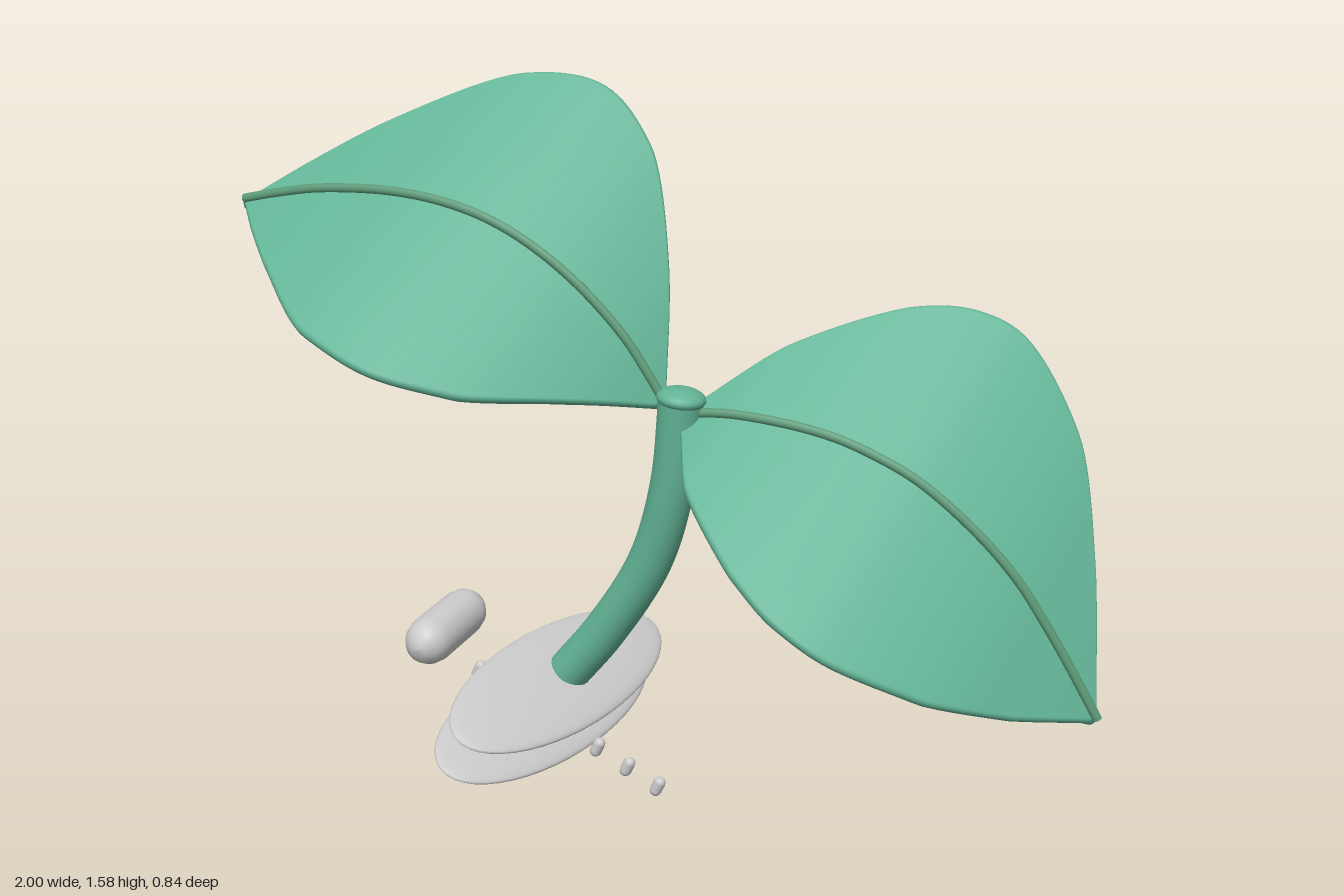
import * as THREE from 'three';

const V = (x, y, z) => new THREE.Vector3(x, y, z);
const leafMat = new THREE.MeshStandardMaterial({ color: 0x62b396 });
const veinMat = new THREE.MeshStandardMaterial({ color: 0x5d9a78 });
const greyMat = new THREE.MeshStandardMaterial({ color: 0xcccccc });

// Half-width direction shared by both leaves
const ACROSS = V(-0.12, -0.265, 0.36);
const HALF_THICK = 0.013;

function add(parent, name, geometry, material) {
  const mesh = new THREE.Mesh(geometry, material);
  mesh.name = name;
  parent.add(mesh);
  return mesh;
}

// Leaf blade: a curved midrib swept with a straight, round-rimmed cross-section.
// Each station is [x, y, z, relative half-width].
function makeLeaf(name, stations) {
  const leaf = new THREE.Group();
  leaf.name = name;
  const spine = new THREE.CatmullRomCurve3(stations.map(([x, y, z]) => V(x, y, z)));
  const width = new THREE.CatmullRomCurve3(stations.map((p) => V(p[0], p[3], 0)));
  const rows = 64, rim = 8, ring = 2 * (rim + 1);
  const side = ACROSS.clone().normalize(), fullWidth = ACROSS.length();
  const pos = [], index = [], veinPts = [];

  for (let i = 0; i <= rows; i++) {
    const t = i / rows;
    const p = spine.getPoint(t);
    const n = side.clone().cross(spine.getTangent(t)).normalize();
    const w = Math.max(width.getPoint(t).y * fullWidth - HALF_THICK, 0);
    if (i % 4 === 0) veinPts.push(p.clone().addScaledVector(n, 0.004));
    for (const sign of [1, -1]) {
      for (let k = 0; k <= rim; k++) {
        const a = (k / rim - 0.5) * Math.PI;
        const q = p.clone()
          .addScaledVector(side, sign * (w + HALF_THICK * Math.cos(a)))
          .addScaledVector(n, sign * HALF_THICK * Math.sin(a) - 0.012);
        pos.push(q.x, q.y, q.z);
      }
    }
  }
  for (let i = 0; i < rows; i++) {
    for (let j = 0; j < ring; j++) {
      const a = i * ring + j, b = i * ring + (j + 1) % ring;
      index.push(a, a + ring, b, b, a + ring, b + ring);
    }
  }
  // End caps
  const last = rows * ring;
  for (let j = 1; j < ring - 1; j++) index.push(0, j, j + 1, last, last + j + 1, last + j);

  const geo = new THREE.BufferGeometry();
  geo.setAttribute('position', new THREE.Float32BufferAttribute(pos, 3));
  geo.setIndex(index);
  geo.computeVertexNormals();
  add(leaf, 'leafBlade', geo, leafMat);

  // Raised central vein
  const vein = new THREE.TubeGeometry(new THREE.CatmullRomCurve3(veinPts), 64, 0.011, 8);
  add(leaf, 'leafVein', vein, veinMat);
  return leaf;
}

export function createModel() {
  const model = new THREE.Group();
  model.name = 'sprout';

  // Leaves
  model.add(makeLeaf('rightLeaf', [
    [-0.995, 1.315, 0.07, 0.02], [-0.9, 1.335, 0.072, 0.25], [-0.777, 1.353, 0.073, 0.52],
    [-0.56, 1.352, 0.073, 0.91], [-0.38, 1.308, 0.068, 1], [-0.22, 1.215, 0.062, 0.85],
    [-0.076, 1.075, 0.052, 0.44], [0.02, 0.93, 0.045, 0.03],
  ]));
  model.add(makeLeaf('leftLeaf', [
    [0.075, 0.912, 0.045, 0.08], [0.185, 0.918, 0.043, 0.47], [0.38, 0.895, 0.038, 0.85],
    [0.5, 0.855, 0.034, 0.98], [0.608, 0.798, 0.03, 1], [0.78, 0.645, 0.02, 0.8],
    [0.89, 0.485, 0.01, 0.45], [0.985, 0.32, 0, 0.02],
  ]));

  // Curved stem with a rounded top
  const stemPath = new THREE.CatmullRomCurve3([
    V(-0.235, 0.245, 0), V(-0.14, 0.364, 0.005), V(-0.025, 0.55, 0.018),
    V(0.035, 0.74, 0.035), V(0.06, 0.95, 0.046),
  ]);
  add(model, 'stem', new THREE.TubeGeometry(stemPath, 40, 0.05, 24), leafMat);
  const cap = add(model, 'stemTop', new THREE.SphereGeometry(0.055, 24, 16), leafMat);
  cap.scale.y = 0.45;
  cap.position.set(0.06, 0.945, 0.046);
  cap.rotation.z = -0.12;

  // Two flattened oval discs at the foot
  for (const [name, x, y] of [['upperDisc', -0.255, 0.225], ['lowerDisc', -0.294, 0.145]]) {
    const disc = add(model, name, new THREE.SphereGeometry(1, 48, 24), greyMat);
    disc.scale.set(0.147, 0.026, 0.42);
    disc.position.set(x, y, 0);
    disc.rotation.set(0, -0.13, -0.43);
  }

  // Round-ended rod beside the discs
  const rodProfile = [
    [0, -0.148], [0.02, -0.145], [0.04, -0.13], [0.052, -0.108], [0.057, -0.08],
    [0.057, 0.08], [0.052, 0.108], [0.04, 0.13], [0.02, 0.145], [0, 0.148],
  ].map(([r, y]) => new THREE.Vector2(r, y));
  const rod = add(model, 'rod', new THREE.LatheGeometry(rodProfile, 32), greyMat);
  rod.rotation.x = Math.PI / 2 + 0.04;
  rod.position.set(-0.55, 0.313, 0.006);

  // Row of small pegs running under the discs
  const pegs = new THREE.Group();
  pegs.name = 'pegRow';
  const start = V(-0.42, 0.257, 0.098), end = V(0.02, 0.032, 0.086);
  for (let i = 0; i < 7; i++) {
    const peg = add(pegs, 'peg', new THREE.CapsuleGeometry(0.014, 0.022, 4, 12), greyMat);
    peg.position.lerpVectors(start, end, i / 6);
    peg.rotation.z = -0.45;
  }
  model.add(pegs);

  return model;
}
